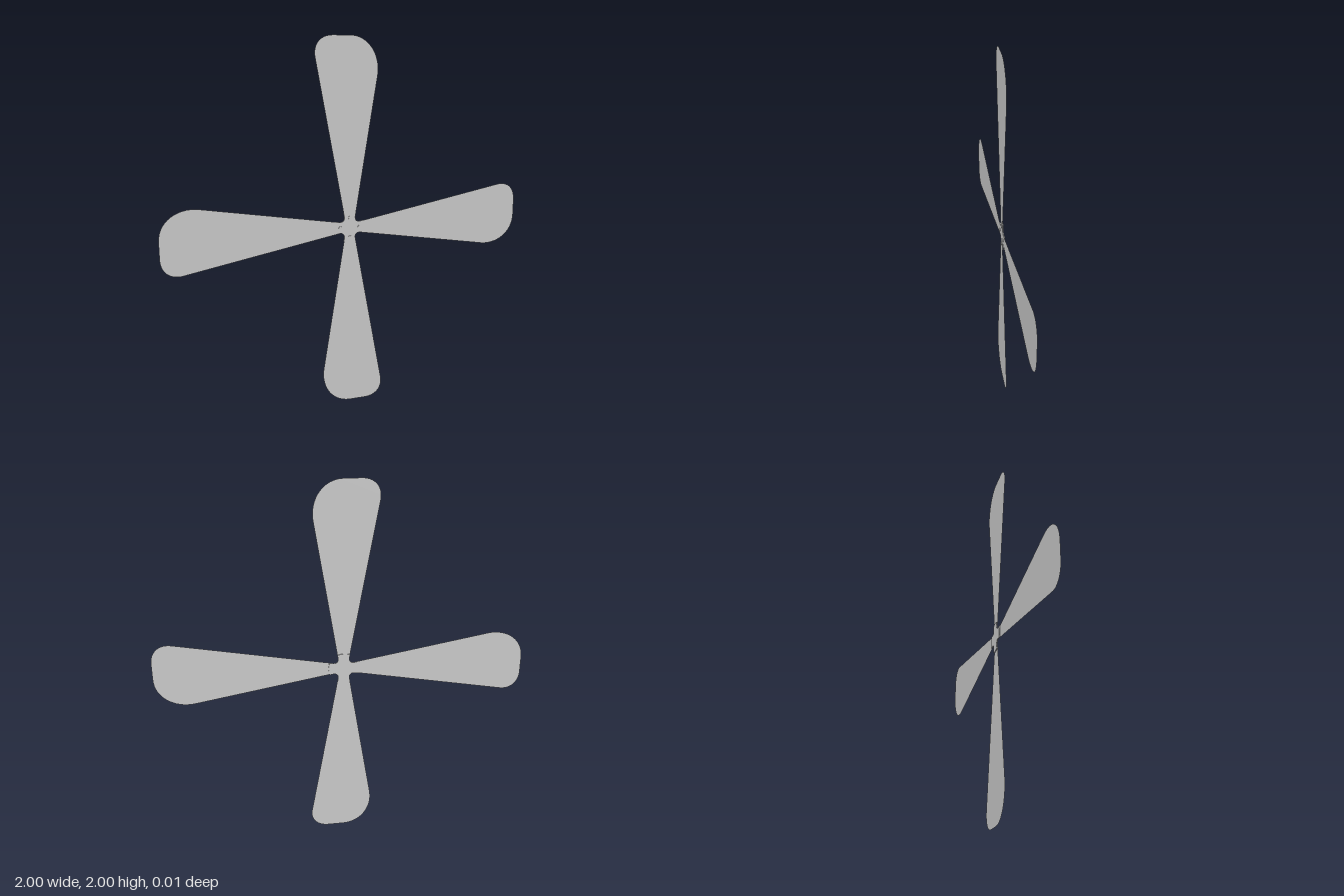
import * as THREE from 'three';

const material = new THREE.MeshStandardMaterial({ color: 0xcccccc, side: THREE.DoubleSide });
const turn = ([x, y], k) => new THREE.Vector2(x, y).rotateAround(new THREE.Vector2(), -k * Math.PI / 2);

// Four-armed outline: each arm is a list of cubic curves (c1, c2, end), a line being a single point
function crossShape(start, arm) {
  const shape = new THREE.Shape();
  for (let k = 0; k < 4; k++) {
    const s = turn(start, k);
    if (k === 0) shape.moveTo(s.x, s.y);
    else { // rounded notch between neighbouring arms
      const c = turn([-0.027, 0.027], k);
      shape.quadraticCurveTo(c.x, c.y, s.x, s.y);
    }
    for (const seg of arm) {
      const p = seg.map((q) => turn(q, k));
      if (p.length === 1) shape.lineTo(p[0].x, p[0].y);
      else shape.bezierCurveTo(p[0].x, p[0].y, p[1].x, p[1].y, p[2].x, p[2].y);
    }
  }
  const c = turn([-0.027, 0.027], 0);
  shape.quadraticCurveTo(c.x, c.y, start[0], start[1]);
  return shape;
}

export function createModel() {
  const group = new THREE.Group();
  const add = (name, geometry, x, y, z) => {
    const mesh = new THREE.Mesh(geometry, material);
    mesh.name = name;
    mesh.position.set(x, y, z);
    group.add(mesh);
    return mesh;
  };

  // Thin sheet of four flaring blades with a tight and a wide rounded tip corner
  const blades = crossShape([-0.031, 0.06], [
    [[-0.185, 0.89]],
    [[-0.197, 0.957], [-0.153, 1.0], [-0.09, 1.0]],
    [[0.0, 1.0]],
    [[0.1, 1.0], [0.168, 0.905], [0.153, 0.8]],
    [[0.031, 0.06]],
  ]);
  add('blades', new THREE.ShapeGeometry(blades, 16), 0, 1, 0.0005);

  // Hub plate behind the blades, with arc-shaped arm ends
  const hub = crossShape([-0.031, 0.06], [
    [[-0.034, 0.076]],
    [[-0.012, 0.084], [0.012, 0.084], [0.034, 0.076]],
    [[0.031, 0.06]],
  ]);
  add('hubPlate', new THREE.ExtrudeGeometry(hub, { depth: 0.005, bevelEnabled: false, curveSegments: 12 }), 0, 1, -0.005);

  // Rivets through the root of each blade
  for (let k = 0; k < 4; k++) {
    const p = turn([0, 0.054], k);
    add('rivet', new THREE.CylinderGeometry(0.009, 0.009, 0.005, 20), p.x, 1 + p.y, 0.0015).rotation.x = Math.PI / 2;
  }
  return group;
}
